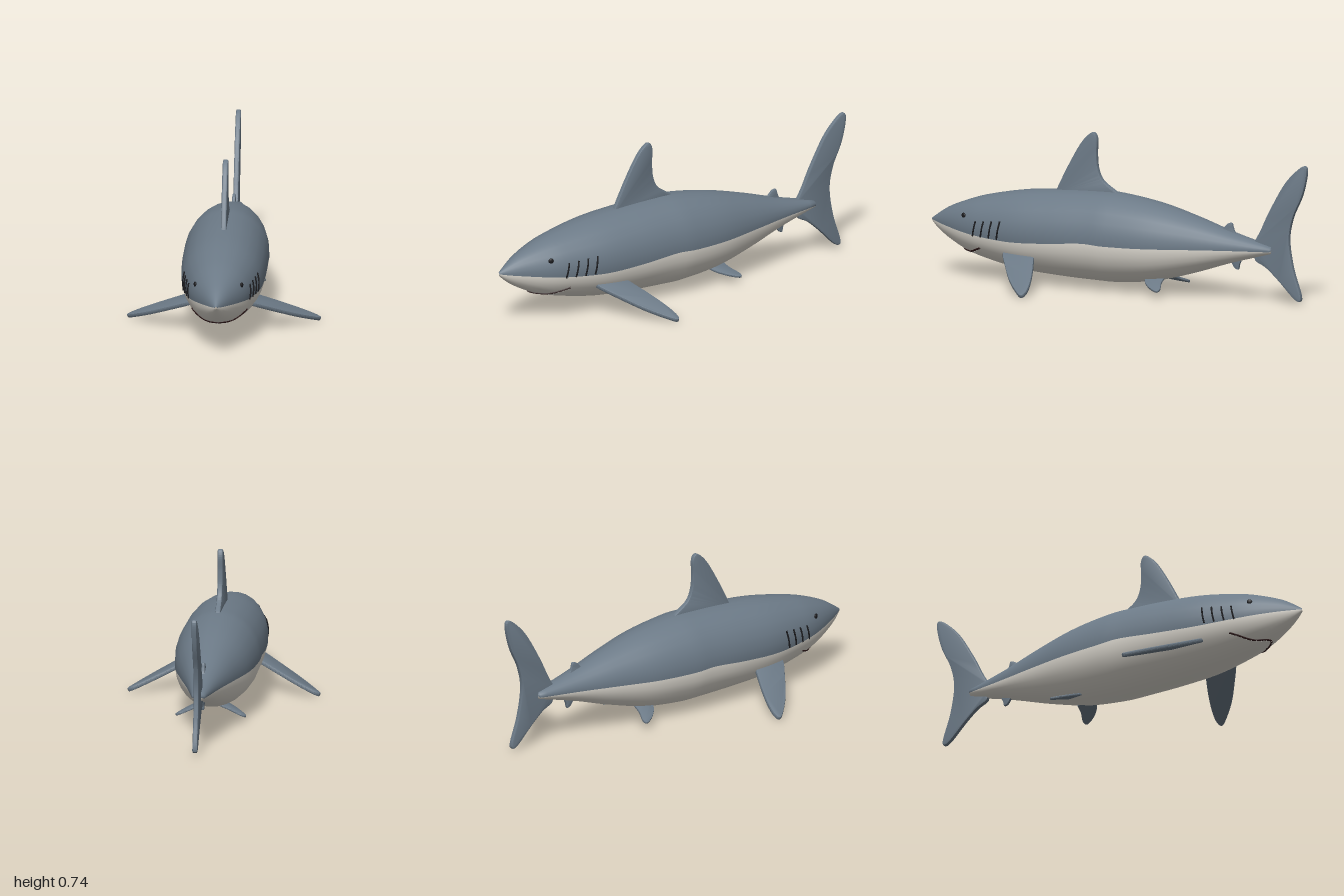
import * as THREE from 'three';
import { toCreasedNormals } from 'three/addons/utils/BufferGeometryUtils.js';

const material = (name, color, side = THREE.FrontSide) => {
  const m = new THREE.MeshStandardMaterial({ color, side });
  m.name = name;
  return m;
};

// Body stations: z, top y, bottom y, half width, y of the colour seam
const STATIONS = [
  [1, 0.265, 0.253, 0.005, 0.26],
  [0.96, 0.294, 0.217, 0.032, 0.254],
  [0.9, 0.331, 0.178, 0.066, 0.247],
  [0.8, 0.372, 0.13, 0.113, 0.235],
  [0.7, 0.402, 0.1, 0.147, 0.225],
  [0.5, 0.44, 0.062, 0.187, 0.216],
  [0.3, 0.458, 0.047, 0.199, 0.226],
  [0.1, 0.466, 0.041, 0.2, 0.243],
  [0, 0.465, 0.041, 0.199, 0.238],
  [-0.2, 0.437, 0.063, 0.176, 0.238],
  [-0.4, 0.387, 0.115, 0.129, 0.243],
  [-0.6, 0.327, 0.18, 0.077, 0.247],
  [-0.81, 0.274, 0.238, 0.03, 0.25],
];

// Smooth interpolation of the stations
function section(z) {
  const S = STATIONS, n = S.length;
  let i = 0;
  while (i < n - 2 && z < S[i + 1][0]) i++;
  const a = S[i], b = S[i + 1], dz = b[0] - a[0];
  const t = THREE.MathUtils.clamp((z - a[0]) / dz, 0, 1);
  const slope = (k, c) => {
    const p = S[Math.max(k - 1, 0)], q = S[Math.min(k + 1, n - 1)];
    return (q[c] - p[c]) / (q[0] - p[0]);
  };
  const v = [1, 2, 3, 4].map((c) =>
    (2 * t ** 3 - 3 * t * t + 1) * a[c] + (t ** 3 - 2 * t * t + t) * dz * slope(i, c) +
    (3 * t * t - 2 * t ** 3) * b[c] + (t ** 3 - t * t) * dz * slope(i + 1, c));
  return { mid: (v[0] + v[1]) / 2, h: (v[0] - v[1]) / 2, w: v[2], seam: v[3] };
}

// Half width of the skin at a height and z
function skinX(y, z) {
  const s = section(z);
  return s.w * Math.sqrt(Math.max(0, 1 - ((y - s.mid) / s.h) ** 2));
}

// Front-most z of the skin at x, y
function skinZ(x, y) {
  let z = 1;
  while (z > 0 && skinX(y, z) <= Math.abs(x)) z -= 0.002;
  return z;
}

// Body loft: upper half of each ring is group 0, lower half is group 1
function bodyGeometry() {
  const ARC = 13, RING = ARC * 2, ROWS = 60;
  const pos = [], upper = [], lower = [];
  for (let i = 0; i <= ROWS + 1; i++) {
    const z = 1 - 1.81 * Math.min(i / ROWS, 1) ** 1.2;
    const s = section(z), k = i > ROWS ? 0.01 : 1;
    const a0 = Math.asin(THREE.MathUtils.clamp((s.seam - s.mid) / s.h, -0.9, 0.9));
    for (let j = 0; j < RING; j++) {
      const a = j < ARC
        ? a0 + (Math.PI - 2 * a0) * (j / ARC)
        : Math.PI - a0 + (Math.PI + 2 * a0) * ((j - ARC) / ARC);
      pos.push(Math.cos(a) * s.w * k, s.mid + Math.sin(a) * s.h * k, i > ROWS ? z - 0.004 : z);
    }
  }
  for (let i = 0; i <= ROWS; i++) {
    for (let j = 0; j < RING; j++) {
      const a = i * RING + j, b = i * RING + (j + 1) % RING;
      (j < ARC ? upper : lower).push(a, a + RING, b, b, a + RING, b + RING);
    }
  }
  const g = new THREE.BufferGeometry();
  g.setAttribute('position', new THREE.Float32BufferAttribute(pos, 3));
  g.setIndex([...upper, ...lower]);
  g.addGroup(0, upper.length, 0);
  g.addGroup(upper.length, lower.length, 1);
  g.computeVertexNormals();
  return g;
}

// Fin slab from an outline; uDir and vDir place the outline in space
function finGeometry(points, thickness, uDir, vDir, origin) {
  const shape = new THREE.Shape();
  shape.moveTo(...points[0]);
  shape.splineThru(points.slice(1).map((p) => new THREE.Vector2(...p)));
  const bevel = thickness * 0.3;
  const g = new THREE.ExtrudeGeometry(shape, {
    depth: thickness - 2 * bevel, curveSegments: 36,
    bevelThickness: bevel, bevelSize: bevel, bevelOffset: -bevel, bevelSegments: 2,
  });
  g.translate(0, 0, bevel - thickness / 2);
  const wDir = new THREE.Vector3().crossVectors(uDir, vDir);
  g.applyMatrix4(new THREE.Matrix4().makeBasis(uDir, vDir, wDir).setPosition(origin));
  return toCreasedNormals(g, 0.7);
}

export function createModel() {
  const model = new THREE.Group();
  const grey = material('greySkin', 0x6c7a87);
  const pale = material('paleBelly', 0xdedad1);
  const dark = material('darkDetail', 0x1b1b1e);
  const mouthRed = material('mouthDark', 0x2c1617);
  const white = material('toothWhite', 0xf6f4ee);
  const add = (name, geometry, mat) => {
    const mesh = new THREE.Mesh(geometry, mat);
    mesh.name = name;
    model.add(mesh);
    return mesh;
  };
  const V = (x, y, z) => new THREE.Vector3(x, y, z);

  add('body', bodyGeometry(), [grey, pale]);

  // Upright fins, outlines as (z, y)
  const upright = {
    dorsalFin: [0.026, [[0.34, 0.44], [0.325, 0.475], [0.27, 0.58], [0.21, 0.68], [0.165, 0.73],
      [0.135, 0.742], [0.118, 0.71], [0.12, 0.64], [0.113, 0.57], [0.085, 0.515], [0.01, 0.463], [0.02, 0.44]]],
    rearDorsalFin: [0.016, [[-0.53, 0.325], [-0.555, 0.345], [-0.575, 0.364], [-0.597, 0.369],
      [-0.606, 0.345], [-0.615, 0.325], [-0.64, 0.3], [-0.6, 0.28], [-0.55, 0.29]]],
    analFin: [0.016, [[-0.57, 0.21], [-0.592, 0.185], [-0.612, 0.157], [-0.632, 0.15],
      [-0.638, 0.172], [-0.646, 0.2], [-0.62, 0.22]]],
    tailFin: [0.024, [[-0.715, 0.285], [-0.75, 0.345], [-0.797, 0.44], [-0.877, 0.575], [-0.95, 0.652],
      [-0.99, 0.67], [-0.998, 0.63], [-0.973, 0.527], [-0.925, 0.42], [-0.905, 0.313], [-0.925, 0.18],
      [-0.965, 0.055], [-0.96, 0.022], [-0.925, 0.037], [-0.845, 0.115], [-0.78, 0.17], [-0.725, 0.2], [-0.72, 0.24]]],
  };
  for (const [name, [thickness, points]] of Object.entries(upright)) {
    add(name, finGeometry(points, thickness, V(0, 0, 1), V(0, 1, 0), V(0, 0, 0)), grey);
  }

  // Mirrored fins, outlines as (distance from root, z)
  const pectoral = [[-0.05, 0.55], [0, 0.537], [0.08, 0.487], [0.2, 0.405], [0.29, 0.325],
    [0.318, 0.288], [0.29, 0.274], [0.22, 0.286], [0.12, 0.32], [0, 0.37], [-0.05, 0.39]];
  const pelvic = [[-0.05, -0.16], [0, -0.18], [0.045, -0.22], [0.075, -0.262],
    [0.08, -0.284], [0.055, -0.289], [0, -0.268], [-0.05, -0.26]];
  for (const side of [1, -1]) {
    const tag = side > 0 ? 'left' : 'right';
    const along = V(0, 0, 1);
    add(tag + 'PectoralFin', finGeometry(pectoral, 0.02, V(side * 0.911, -0.412, 0).normalize(),
      along, V(side * 0.165, 0.145, 0)), grey);
    add(tag + 'PelvicFin', finGeometry(pelvic, 0.011, V(side * 0.94, -0.342, 0).normalize(),
      along, V(side * 0.09, 0.067, 0)), grey);

    // Eye
    const eye = add(tag + 'Eye', new THREE.SphereGeometry(0.013, 16, 10), dark);
    eye.position.set(side * skinX(0.31, 0.775), 0.31, 0.775);
    eye.scale.set(0.5, 1, 1);
    eye.rotation.y = -side * 0.4;

    // Gill slits following the skin
    for (let i = 0; i < 4; i++) {
      const path = [0, 0.25, 0.5, 0.75, 1].map((t) => {
        const y = 0.222 + t * (0.072 + i * 0.005), z = 0.71 - i * 0.048 - t * 0.016;
        return V(side * (skinX(y, z) + 0.001), y, z);
      });
      add(tag + 'GillSlit' + (i + 1),
        new THREE.TubeGeometry(new THREE.CatmullRomCurve3(path), 10, 0.004, 6), dark);
    }
  }

  // Mouth line wrapped on the snout
  const half = [[0.128, 0.166], [0.105, 0.151], [0.08, 0.139], [0.055, 0.134], [0.028, 0.138]];
  const line = [...half.map(([x, y]) => [-x, y]), [0, 0.141], ...half.slice().reverse()];
  const mouth = new THREE.CatmullRomCurve3(line.map(([x, y]) => V(x, y, skinZ(x, y))));
  add('mouth', new THREE.TubeGeometry(mouth, 48, 0.005, 6), mouthRed);

  // Small teeth along the mouth
  for (let i = 0; i < 15; i++) {
    const tooth = add('tooth' + (i + 1), new THREE.ConeGeometry(0.003, 0.012, 5), white);
    tooth.position.copy(mouth.getPointAt(0.08 + 0.84 * i / 14)).add(V(0, -0.005, 0.002));
    tooth.rotation.x = Math.PI;
  }
  return model;
}
